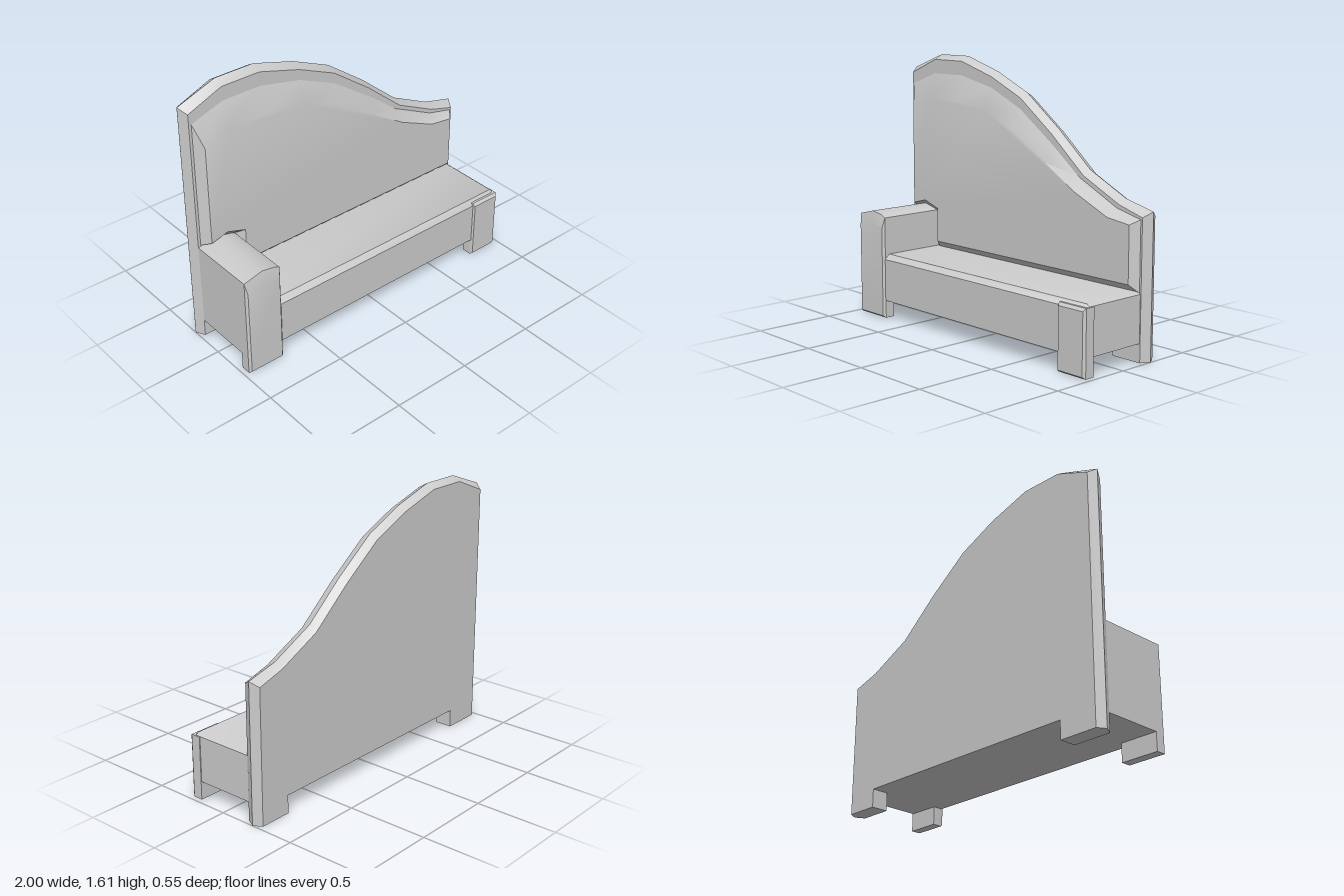
import * as THREE from 'three';
import { toCreasedNormals } from 'three/addons/utils/BufferGeometryUtils.js';

const material = new THREE.MeshStandardMaterial({ color: 0xcccccc });

// Joins counter-clockwise xy outlines, given from back to front as [z, points], and caps both ends.
function loft(name, rings) {
  const n = rings[0][1].length;
  const positions = [];
  const index = [];
  for (const [z, points] of rings) for (const [x, y] of points) positions.push(x, y, z);
  for (let r = 0; r < rings.length - 1; r++) {
    for (let i = 0; i < n; i++) {
      const j = (i + 1) % n;
      const a = r * n + i, b = r * n + j, c = b + n, d = a + n;
      index.push(a, b, c, a, c, d);
    }
  }
  const cap = (r, flip) => {
    const contour = rings[r][1].map(([x, y]) => new THREE.Vector2(x, y));
    for (const [a, b, c] of THREE.ShapeUtils.triangulateShape(contour, [])) {
      index.push(r * n + a, r * n + (flip ? c : b), r * n + (flip ? b : c));
    }
  };
  cap(0, true);
  cap(rings.length - 1, false);
  const geometry = new THREE.BufferGeometry();
  geometry.setAttribute('position', new THREE.Float32BufferAttribute(positions, 3));
  geometry.setIndex(index);
  const mesh = new THREE.Mesh(toCreasedNormals(geometry, 0.6), material);
  mesh.name = name;
  return mesh;
}

// Sweeping top edge of the backrest, from its left end on screen to its right end.
const crest = [[-1, 1.52], [-0.75, 1.61], [-0.5, 1.61], [-0.23, 1.53], [0.02, 1.42],
  [0.28, 1.23], [0.53, 1.02], [0.8, 0.89], [1, 0.84]];

// Backrest outline with two rear feet; the inset narrows its top and sides.
function backOutline(inset) {
  const e = 1 - inset;
  const top = crest.map(([x, y]) => [THREE.MathUtils.clamp(x, -e, e), y - inset]);
  return [[-e, 0], [-0.73, 0], [-0.73, 0.11], [0.77, 0.11], [0.77, 0], [e, 0], ...top.reverse()];
}

// Padding outlines: the bottom steps up and over the armrest.
const paddingBack = [[-0.955, 0.64], [-0.85, 0.65], [-0.73, 0.62], [-0.72, 0.39], [0.96, 0.39],
  [0.96, 0.8], [0.79, 0.84], [0.5, 0.98], [0.28, 1.15], [0.02, 1.33],
  [-0.23, 1.44], [-0.5, 1.5], [-0.75, 1.5], [-0.955, 1.43]];
const paddingFront = [[-0.91, 0.66], [-0.8, 0.69], [-0.68, 0.65], [-0.68, 0.44], [0.92, 0.44],
  [0.92, 0.77], [0.76, 0.79], [0.51, 0.9], [0.28, 1.04], [0.02, 1.2],
  [-0.23, 1.3], [-0.5, 1.34], [-0.75, 1.34], [-0.91, 1.28]];

const seatOutline = (drop) => [[-0.73, 0.11], [0.965, 0.11], [0.965, 0.387 - drop],
  [0.945, 0.4 - drop], [-0.73, 0.4 - drop]];

// Armrest outline with a gently peaked top.
const armOutline = (bottom, inset, drop) => [[-0.97 + inset, bottom], [-0.73 - inset, bottom],
  [-0.73 - inset, 0.63 - drop], [-0.76, 0.645 - drop], [-0.85, 0.66 - drop], [-0.97 + inset, 0.63 - drop]];

const box = (x0, x1, y0, y1) => [[x0, y0], [x1, y0], [x1, y1], [x0, y1]];

export function createModel() {
  const group = new THREE.Group();
  group.name = 'bench';

  group.add(loft('backrest', [
    [-0.275, backOutline(0.03)], [-0.225, backOutline(0)], [-0.17, backOutline(0.03)],
  ]));
  group.add(loft('backPadding', [[-0.172, paddingBack], [-0.12, paddingFront]]));
  group.add(loft('seat', [
    [-0.17, seatOutline(0)], [0.23, seatOutline(0)], [0.262, seatOutline(0.03)],
  ]));

  // Armrest and the foot below it
  group.add(loft('armrest', [
    [-0.17, armOutline(0.11, 0, 0)], [0.26, armOutline(0.11, 0, 0)], [0.275, armOutline(0.11, 0.012, 0.07)],
  ]));
  group.add(loft('armFoot', [
    [0.2, box(-0.97, -0.73, 0, 0.11)], [0.26, box(-0.97, -0.73, 0, 0.11)],
    [0.275, box(-0.958, -0.742, 0.012, 0.11)],
  ]));

  // Short front post at the open end
  group.add(loft('frontPost', [
    [0.2, box(0.77, 0.97, 0, 0.385)], [0.26, box(0.77, 0.97, 0, 0.385)],
    [0.275, box(0.778, 0.958, 0.012, 0.368)],
  ]));
  return group;
}
